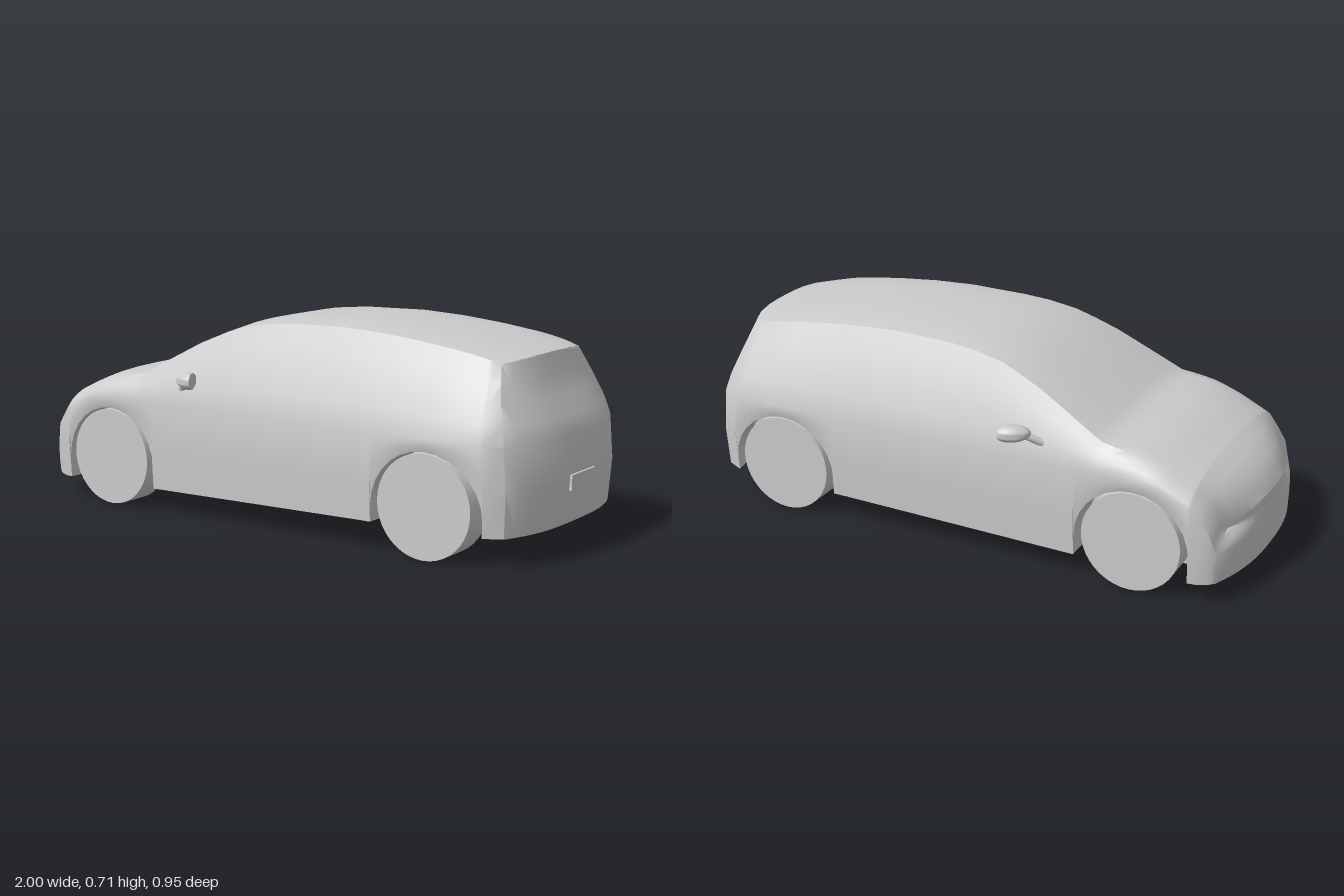
import * as THREE from 'three';
import { toCreasedNormals } from 'three/addons/utils/BufferGeometryUtils.js';

const material = new THREE.MeshStandardMaterial({ color: 0xcccccc });
const NOSE = -1, TAIL = 0.9;
const AXLES = [-0.655, 0.65], ARCH_R = 0.197, WHEEL_R = 0.17;

// Linear interpolation in a list of [position, value] pairs
function at(list, p) {
  if (p <= list[0][0]) return list[0][1];
  for (let i = 1; i < list.length; i++) {
    const [a, va] = list[i - 1], [b, vb] = list[i];
    if (p <= b) return va + (vb - va) * (p - a) / (b - a);
  }
  return list[list.length - 1][1];
}

// Curves along the length of the car
const TOP = [[-1, 0.28], [-0.985, 0.31], [-0.95, 0.355], [-0.9, 0.388], [-0.85, 0.415], [-0.75, 0.453],
  [-0.67, 0.474], [-0.6, 0.479], [-0.53, 0.49], [-0.4, 0.56], [-0.3, 0.613], [-0.22, 0.647], [-0.15, 0.673],
  [-0.05, 0.693], [0.05, 0.702], [0.25, 0.707], [0.4, 0.7], [0.55, 0.686], [0.7, 0.666], [0.9, 0.633]];
const CROWN = [[-1, 0.05], [-0.85, 0.035], [-0.6, 0.015], [0, 0.018], [0.9, 0.018]];
const BOTTOM = [[-1, 0.075], [-0.9, 0.07], [-0.4, 0.08], [0.4, 0.095], [0.9, 0.1]];
const WIDTH = [[-1, 0.92], [-0.985, 0.94], [-0.95, 0.965], [-0.9, 0.985], [-0.85, 1], [0.7, 1], [0.84, 0.985], [0.9, 0.9]];
const ROOF_EDGE = [[-1, 0.27], [-0.95, 0.305], [-0.85, 0.335], [-0.6, 0.353], [-0.5, 0.343], [-0.3, 0.31],
  [-0.15, 0.288], [0, 0.274], [0.2, 0.268], [0.7, 0.266], [0.9, 0.255]];
// Rounding of the nose in plan; tail face by height, at its middle and at its side edge
const NOSE_SWEEP = [[-1, 0.065], [-0.985, 0.06], [-0.95, 0.04], [-0.9, 0.02], [-0.85, 0]];
const TAIL_MIDDLE = [[0.1, 0.978], [0.2, 0.992], [0.3, 0.996], [0.38, 0.983], [0.46, 0.955], [0.51, 0.92], [0.56, 0.905], [0.635, 0.885]];
const TAIL_EDGE = [[0.1, 0.915], [0.3, 0.925], [0.42, 0.905], [0.5, 0.877], [0.63, 0.835]];

// Bends the stations near both ends; t runs from 0 on the centre line to 1 at the side
function bend(X, y, t) {
  if (X < -0.85) return X + at(NOSE_SWEEP, X) * t ** 2.5;
  if (X <= 0.7) return X;
  const edge = at(TAIL_EDGE, y), middle = at(TAIL_MIDDLE, y);
  const face = edge + (middle - edge) * (1 - t ** 3);
  return X + (face - TAIL) * ((X - 0.7) / (TAIL - 0.7)) ** 2;
}

// Half cross-section from bottom centre, round the side, to top centre: [z, y, t]
function halfSection(X, archY) {
  const w = at(WIDTH, X) * 0.4, yb = at(BOTTOM, X), ya = Math.max(archY, yb);
  const yT = at(TOP, X), crown = at(CROWN, X), yE = yT - crown, e = at(ROOF_EDGE, X);
  const ys = Math.min(0.385, yE - 0.05), zi = 0.275;
  const pts = [[0, yb, 0], [zi, yb, zi / w], [zi, ya, zi / w], [w * 0.985, ya, 1],
    [w * 1.003, ya + (ys - ya) * 0.5, 1], [w, ys, 1]];
  for (const f of [0.25, 0.5, 0.75, 1]) {
    pts.push([w + (e - w) * f + Math.sin(f * Math.PI) * 0.012, ys + (yE - ys) * f, 1]);
  }
  for (const f of [0.9, 0.7, 0.45, 0.2, 0]) pts.push([e * f, yT - crown * f ** 3, f]);
  return pts;
}

function bodyGeometry() {
  // Stations along x; the arches start and end with a step
  const stations = TOP.map(([x]) => [x, 0])
    .concat([[-0.45, 0], [0.15, 0], [0.32, 0]])
    .filter(([x]) => AXLES.every(c => Math.abs(x - c) > ARCH_R + 0.001));
  for (const c of AXLES) {
    stations.push([c - ARCH_R, 0], [c + ARCH_R + 1e-6, 0]);
    for (let i = 0; i <= 14; i++) {
      const a = Math.PI * i / 14;
      stations.push([c - ARCH_R * Math.cos(a) + (i ? 0 : 1e-6), 0.15 + 0.195 * Math.sin(a)]);
    }
  }
  stations.sort((a, b) => a[0] - b[0]);

  const pos = [], index = [];
  const quad = (a, b, c, d) => index.push(a, b, c, a, c, d);
  let ring = 0;
  stations.forEach(([X, archY]) => {
    const half = halfSection(X, archY);
    const mirrored = half.slice(1, -1).reverse().map(([z, y, t]) => [-z, y, t]);
    const loop = half.concat(mirrored);
    ring = loop.length;
    for (const [z, y, t] of loop) pos.push(bend(X, y, t), y, z);
  });
  for (let i = 0; i < stations.length - 1; i++) {
    for (let j = 0; j < ring; j++) {
      const k = (j + 1) % ring, a = i * ring, b = a + ring;
      quad(a + j, b + j, b + k, a + k);
    }
  }

  // Nose and tail faces, row by row across the width
  const N = 8, cols = 2 * N + 1;
  for (const X of [NOSE, TAIL]) {
    const start = pos.length / 3, rows = halfSection(X, 0).slice(3);
    for (const [z, y, t] of rows) {
      for (let k = -N; k <= N; k++) pos.push(bend(X, y, Math.abs(k / N) * t), y, z * k / N);
    }
    for (let j = 0; j < rows.length - 1; j++) {
      for (let k = 0; k < cols - 1; k++) {
        const a = start + j * cols + k, b = a + cols;
        if (X === TAIL) quad(a, b, b + 1, a + 1);
        else quad(a, a + 1, b + 1, b);
      }
    }
  }
  const g = new THREE.BufferGeometry();
  g.setAttribute('position', new THREE.Float32BufferAttribute(pos, 3));
  g.setIndex(index);
  return toCreasedNormals(g, 0.65);
}

function addMesh(parent, name, geometry) {
  const mesh = new THREE.Mesh(geometry, material);
  mesh.name = name;
  parent.add(mesh);
  return mesh;
}

// Mirror housing: domed to the front, flat at the back, swept outward
function housingGeometry() {
  const g = new THREE.SphereGeometry(1, 20, 14), p = g.attributes.position;
  for (let i = 0; i < p.count; i++) {
    const z = p.getZ(i) * 0.045;
    const x = Math.min(p.getX(i), 0.15) * 0.06 + z * 0.45;
    p.setXYZ(i, x, p.getY(i) * (0.028 + z * 0.08), z);
  }
  return toCreasedNormals(g, 0.7);
}

// Stalk between two points
function stalkGeometry(from, to) {
  const dir = to.clone().sub(from);
  const g = new THREE.CylinderGeometry(0.011, 0.014, dir.length(), 10);
  g.applyQuaternion(new THREE.Quaternion().setFromUnitVectors(new THREE.Vector3(0, 1, 0), dir.clone().normalize()));
  const mid = from.clone().add(to).multiplyScalar(0.5);
  return g.translate(mid.x, mid.y, mid.z);
}

export function createModel() {
  const car = new THREE.Group();
  car.name = 'car';
  addMesh(car, 'body', bodyGeometry());

  // Wheels
  AXLES.forEach((x, i) => {
    for (const side of [1, -1]) {
      const g = new THREE.CylinderGeometry(WHEEL_R, WHEEL_R, 0.108, 40).rotateX(Math.PI / 2);
      const wheel = addMesh(car, i ? 'rearWheel' : 'frontWheel', g);
      wheel.position.set(x, WHEEL_R, side * 0.341);
    }
  });

  // Door mirrors
  for (const side of [1, -1]) {
    const mirror = new THREE.Group();
    mirror.name = side > 0 ? 'leftMirror' : 'rightMirror';
    const housing = addMesh(mirror, 'mirrorHousing', housingGeometry());
    housing.position.set(-0.25, 0.484, 0.432);
    addMesh(mirror, 'mirrorStalk', stalkGeometry(
      new THREE.Vector3(-0.35, 0.435, 0.365), new THREE.Vector3(-0.28, 0.475, 0.41)));
    mirror.scale.z = side;
    car.add(mirror);
  }

  // Rear plate
  const plate = addMesh(car, 'rearPlate', new THREE.BoxGeometry(0.02, 0.05, 0.16));
  plate.position.set(0.99, 0.235, 0);
  return car;
}
